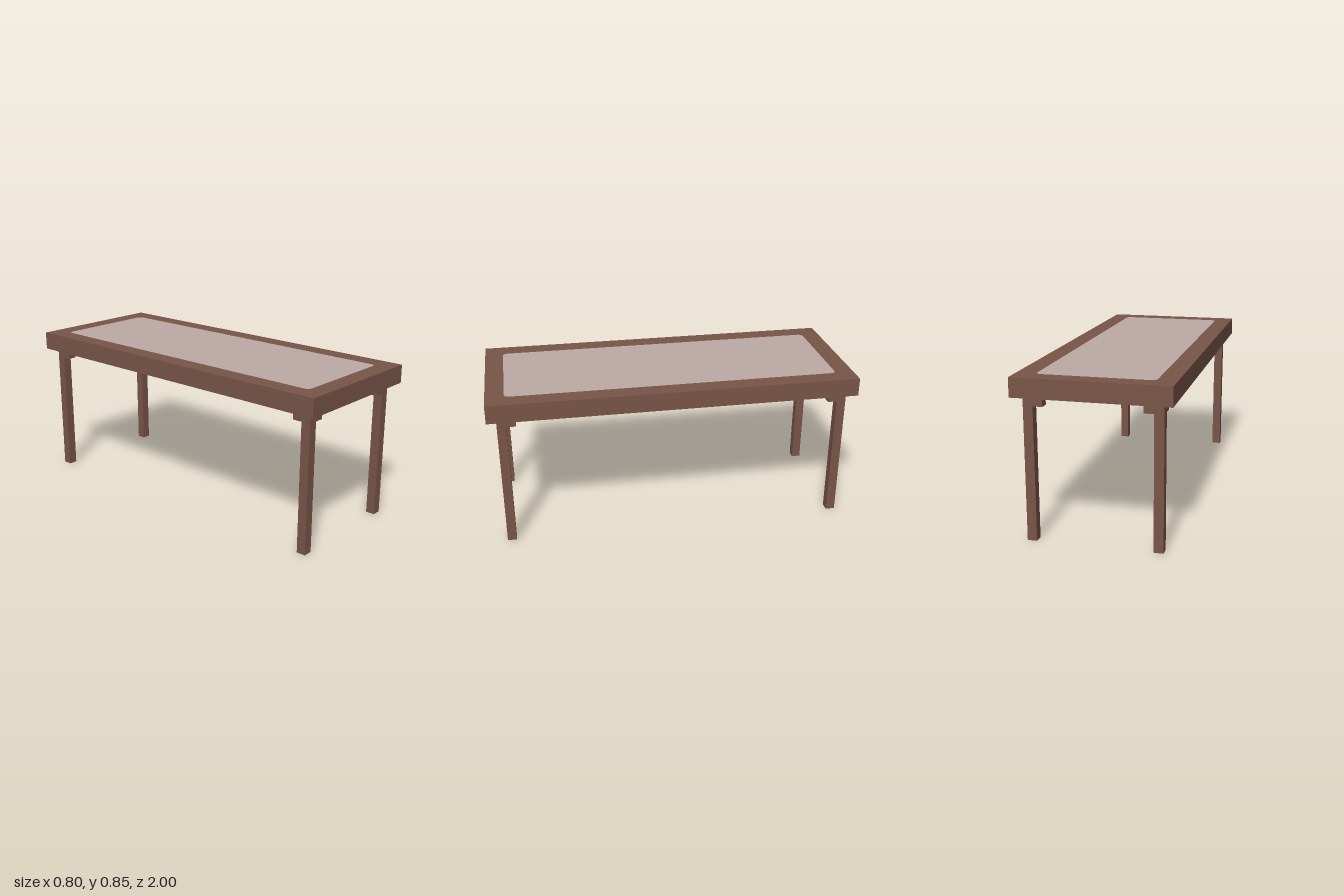
import * as THREE from 'three';

const wood = new THREE.MeshStandardMaterial({ color: 0x795548 });
wood.name = 'brownWood';
const inlay = new THREE.MeshStandardMaterial({ color: 0xbcaaa4 });
inlay.name = 'paleInlay';

// Traces a centred rectangle with rounded corners
function roundedRect(path, w, d, r) {
  const x = w / 2, y = d / 2;
  path.moveTo(-x + r, -y);
  path.lineTo(x - r, -y);
  path.quadraticCurveTo(x, -y, x, -y + r);
  path.lineTo(x, y - r);
  path.quadraticCurveTo(x, y, x - r, y);
  path.lineTo(-x + r, y);
  path.quadraticCurveTo(-x, y, -x, y - r);
  path.lineTo(-x, -y + r);
  path.quadraticCurveTo(-x, -y, -x + r, -y);
  return path;
}

// Lays an extruded slab flat, from y = 0.75 to y = 0.85
function slab(shape, material, name) {
  const geometry = new THREE.ExtrudeGeometry(shape, { depth: 0.1, bevelEnabled: false, curveSegments: 8 });
  geometry.rotateX(-Math.PI / 2).translate(0, 0.75, 0);
  const mesh = new THREE.Mesh(geometry, material);
  mesh.name = name;
  return mesh;
}

function box(name, w, h, d, x, y, z) {
  const mesh = new THREE.Mesh(new THREE.BoxGeometry(w, h, d), wood);
  mesh.name = name;
  mesh.position.set(x, y, z);
  return mesh;
}

export function createModel() {
  const table = new THREE.Group();
  table.name = 'table';

  // Tabletop frame with a flush inlaid panel
  const frame = new THREE.Shape();
  frame.moveTo(-0.4, -1).lineTo(0.4, -1).lineTo(0.4, 1).lineTo(-0.4, 1).closePath();
  frame.holes.push(roundedRect(new THREE.Path(), 0.6, 1.8, 0.03));
  table.add(slab(frame, wood, 'topFrame'));
  table.add(slab(roundedRect(new THREE.Shape(), 0.6, 1.8, 0.03), inlay, 'topPanel'));

  // Four legs, each with two inward corner blocks
  for (const sx of [-1, 1]) {
    for (const sz of [-1, 1]) {
      const corner = new THREE.Group();
      corner.name = `${sz > 0 ? 'front' : 'back'}${sx > 0 ? 'Left' : 'Right'}Leg`;
      corner.add(
        box('post', 0.05, 0.75, 0.05, sx * 0.325, 0.375, sz * 0.925),
        box('sideBlock', 0.05, 0.05, 0.05, sx * 0.275, 0.725, sz * 0.925),
        box('lengthBlock', 0.05, 0.05, 0.05, sx * 0.325, 0.725, sz * 0.875)
      );
      table.add(corner);
    }
  }
  return table;
}
